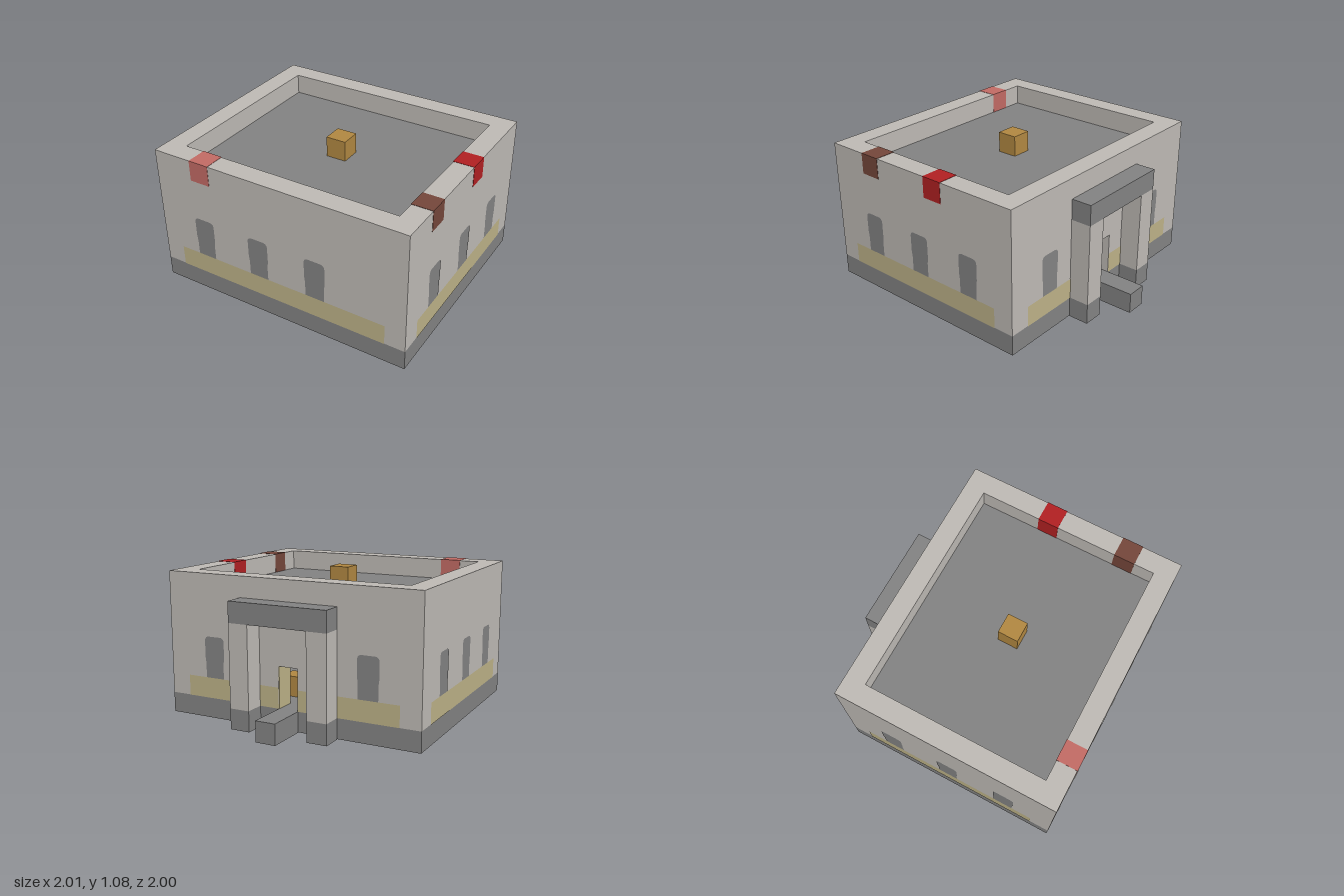
import * as THREE from 'three';

const U = 2 / 13; // edge of one building block

function material(name, color) {
  const m = new THREE.MeshStandardMaterial({ color });
  m.name = name;
  return m;
}

export function createModel() {
  const model = new THREE.Group();
  model.name = 'blockHouse';
  const stone = material('paleStone', 0xbdb9b4);
  const grey = material('grey', 0x828282);
  const yellow = material('paleYellow', 0xbcb187);
  const orange = material('orangeWood', 0xb08741);
  const red = material('red', 0xb02022);
  const pink = material('pink', 0xc16a64);
  const brown = material('brown', 0x74463a);

  // Box given by its limits, in blocks
  function block(name, mat, [x0, x1], [y0, y1], [z0, z1]) {
    const geo = new THREE.BoxGeometry((x1 - x0) * U, (y1 - y0) * U, (z1 - z0) * U);
    const mesh = new THREE.Mesh(geo, mat);
    mesh.position.set((x0 + x1) / 2 * U, (y0 + y1) / 2 * U, (z0 + z1) / 2 * U);
    mesh.name = name;
    model.add(mesh);
    return mesh;
  }

  // Foundation, walls and roof
  block('foundation', grey, [-6.5, 6.5], [0.02, 1], [-4.5, 6.5]);
  block('leftWall', stone, [5.5, 6.5], [1, 7], [-4.5, 6.5]);
  block('rightWall', stone, [-6.5, -5.5], [1, 7], [-4.5, 6.5]);
  block('frontWall', stone, [-5.5, 5.5], [1, 7], [5.5, 6.5]);
  block('backWallLeft', stone, [0.5, 5.5], [1, 7], [-4.5, -3.5]);
  block('backWallRight', stone, [-5.5, -0.5], [1, 7], [-4.5, -3.5]);
  block('doorLintel', stone, [-0.5, 0.5], [3, 7], [-4.5, -3.5]);
  block('roof', grey, [-5.5, 5.5], [5, 6], [-3.5, 5.5]);
  block('roofCrate', orange, [-0.5, 0.5], [6, 7], [0, 0].map((v, i) => 0.5 + i));

  // Counter inside the doorway and painted door jamb
  block('counter', orange, [-1.5, 1.5], [1, 2], [-2.5, -1.5]);
  block('doorJamb', yellow, [0.47, 0.5], [1, 3], [-4.49, -3.5]);

  // Coloured parapet blocks
  const e = 0.015;
  for (const [name, mat, x, z] of [
    ['pinkParapetBlock', pink, -4, 6],
    ['brownParapetBlock', brown, 6, 4],
    ['redParapetBlock', red, 6, 0],
  ]) {
    block(name, mat, [x - 0.5 - e, x + 0.5 + e], [6, 7 + e], [z - 0.5 - e, z + 0.5 + e]);
  }

  // Porch at the back
  for (const x of [-2, 2]) {
    block('porchFoot', grey, [x - 0.5, x + 0.5], [0, 1], [-5.5, -4.5]);
    block('porchPillar', stone, [x - 0.5, x + 0.5], [1, 5], [-5.5, -4.5]);
  }
  block('porchBeam', grey, [-2.5, 2.5], [5, 6], [-5.5, -4.5]);
  block('doorStep', grey, [-0.5, 0.5], [0, 1], [-6.5, -4.5]);

  // Window outline with a slightly bulged, rounded top
  const win = new THREE.Shape();
  win.moveTo(-0.49 * U, 0);
  win.lineTo(0.49 * U, 0);
  win.lineTo(0.49 * U, 0.7 * U);
  win.lineTo(0.53 * U, 1 * U);
  win.lineTo(0.53 * U, 1.78 * U);
  win.quadraticCurveTo(0.52 * U, 2 * U, 0.3 * U, 2 * U);
  win.lineTo(-0.3 * U, 2 * U);
  win.quadraticCurveTo(-0.52 * U, 2 * U, -0.53 * U, 1.78 * U);
  win.lineTo(-0.53 * U, 1 * U);
  win.lineTo(-0.49 * U, 0.7 * U);
  const windowGeo = new THREE.ShapeGeometry(win, 6);

  // Painted windows and yellow band on each side
  function facade(name, turn, x, z, windows, bands) {
    const g = new THREE.Group();
    g.name = name;
    g.position.set(x * U, 0, z * U);
    g.rotation.y = turn;
    for (const wx of windows) {
      const w = new THREE.Mesh(windowGeo, grey);
      w.name = 'window';
      w.position.set(wx * U, 2 * U, 0.02 * U);
      g.add(w);
    }
    for (const [a, b] of bands) {
      const band = new THREE.Mesh(new THREE.PlaneGeometry((b - a) * U, U), yellow);
      band.name = 'yellowBand';
      band.position.set((a + b) / 2 * U, 1.5 * U, 0.02 * U);
      g.add(band);
    }
    model.add(g);
  }
  const H = Math.PI / 2;
  facade('frontPaint', 0, 0, 6.5, [-4, -1, 2], [[-5.5, 5.5]]);
  facade('leftPaint', H, 6.5, 0, [-4, -1, 2], [[-5.5, 3.5]]);
  facade('rightPaint', -H, -6.5, 0, [4, 1, -2], [[-3.5, 5.5]]);
  facade('backPaint', 2 * H, 0, -4.5, [-4, 4], [[-5.5, -0.5], [0.5, 5.5]]);

  // Chequered brown patches underneath, joined along one diagonal
  const patch = new THREE.Shape();
  const h = 0.5 * U, c = 0.28 * U, j = 0.54 * U, k = 0.36 * U;
  patch.moveTo(h - c, h);
  patch.quadraticCurveTo(h, h, h, h - c);
  patch.lineTo(h, -k);
  patch.lineTo(j, -j);
  patch.lineTo(k, -h);
  patch.lineTo(c - h, -h);
  patch.quadraticCurveTo(-h, -h, -h, c - h);
  patch.lineTo(-h, k);
  patch.lineTo(-j, j);
  patch.lineTo(-k, h);
  const patchGeo = new THREE.ShapeGeometry(patch, 4).rotateX(H);
  for (let x = -4; x <= 4; x++) {
    for (let z = -2; z <= 4; z++) {
      if ((x + z) % 2 !== 0) continue;
      const p = new THREE.Mesh(patchGeo, brown);
      p.name = 'floorPatch';
      p.position.set(x * U, 0, z * U);
      model.add(p);
    }
  }
  return model;
}
